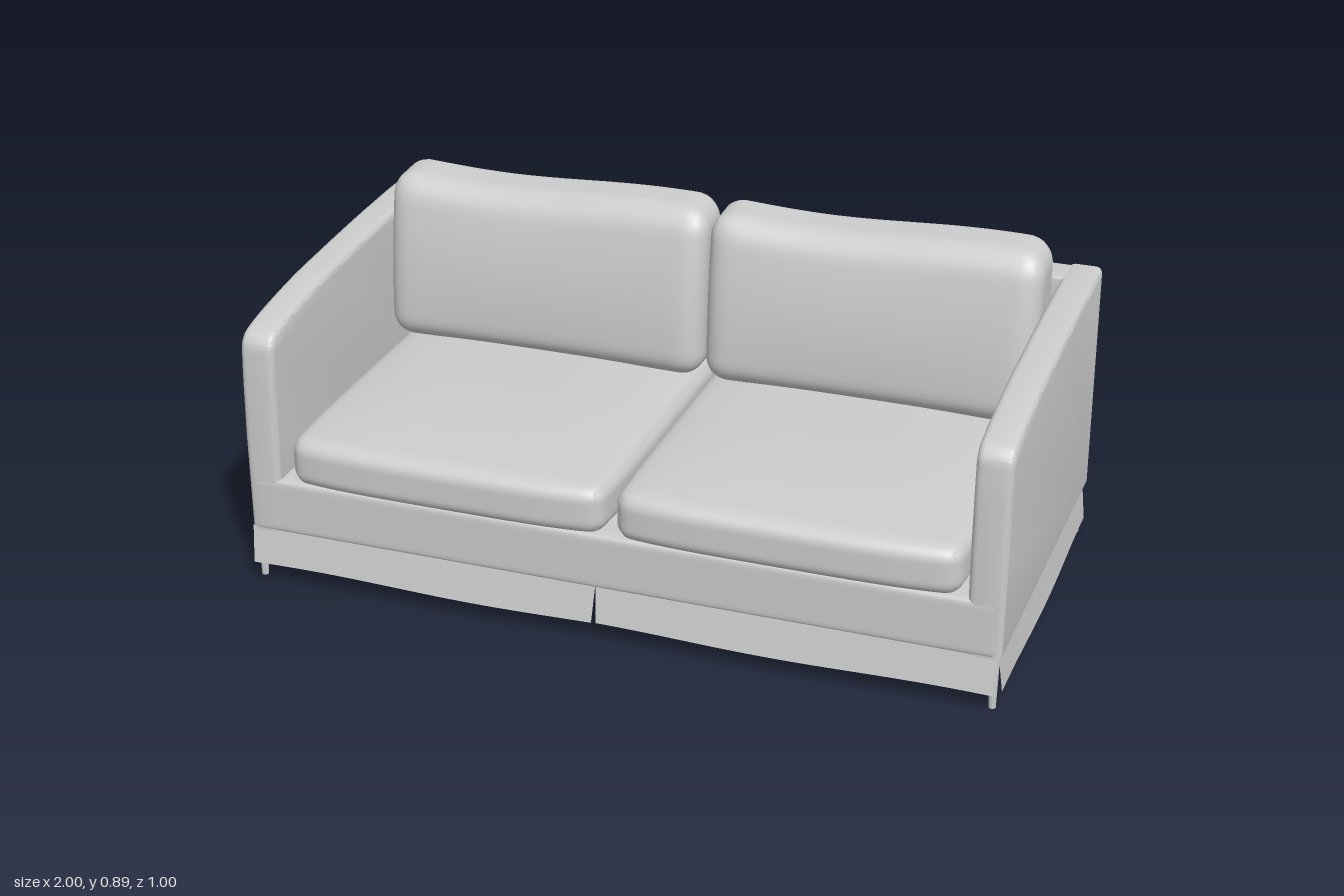
import * as THREE from 'three';
import { mergeVertices, toCreasedNormals } from 'three/addons/utils/BufferGeometryUtils.js';

const material = new THREE.MeshStandardMaterial({ color: 0xcccccc });
const cloth = new THREE.MeshStandardMaterial({ color: 0xcccccc, side: THREE.DoubleSide });

// Smooth padded block between two corners, rounded by r, then bent by a rule.
function softBox(min, max, r, seg, bend) {
  let geo = new THREE.BoxGeometry(2, 2, 2, seg, seg, seg);
  geo.deleteAttribute('uv');
  geo.deleteAttribute('normal');
  geo = mergeVertices(geo);
  const lo = new THREE.Vector3(...min), hi = new THREE.Vector3(...max);
  const mid = lo.clone().add(hi).multiplyScalar(0.5);
  const half = hi.clone().sub(lo).multiplyScalar(0.5);
  const core = half.clone().subScalar(r);
  const pos = geo.attributes.position, v = new THREE.Vector3(), inner = new THREE.Vector3();
  // crowd the grid lines towards the edges so the rounding is smooth
  const crowd = (t) => Math.sin(t * Math.PI / 2);
  for (let i = 0; i < pos.count; i++) {
    v.fromBufferAttribute(pos, i);
    const u = new THREE.Vector3(crowd(v.x), crowd(v.y), crowd(v.z));
    v.copy(u).multiply(half);
    inner.copy(v).clamp(core.clone().negate(), core);
    v.sub(inner).setLength(r).add(inner).add(mid);
    if (bend) bend(v, u);
    pos.setXYZ(i, v.x, v.y, v.z);
  }
  geo.computeVertexNormals();
  return geo;
}

// Side panel: outline in z and y with a softly rolled edge.
function armGeometry() {
  const s = new THREE.Shape();
  s.moveTo(-0.5, 0.14);
  s.lineTo(0.48, 0.14);
  s.lineTo(0.484, 0.4);
  s.splineThru([[0.478, 0.6], [0.464, 0.672], [0.4, 0.701], [0.2, 0.731],
    [0, 0.746], [-0.2, 0.757], [-0.4, 0.764]].map((p) => new THREE.Vector2(...p)));
  s.lineTo(-0.5, 0.764);
  const bevel = 0.018;
  const geo = new THREE.ExtrudeGeometry(s, {
    depth: 0.092 - 2 * bevel, curveSegments: 32, bevelEnabled: true,
    bevelSize: bevel, bevelThickness: bevel, bevelOffset: -bevel, bevelSegments: 4,
  });
  geo.translate(0, 0, bevel - 0.046);
  geo.rotateY(-Math.PI / 2);
  return toCreasedNormals(geo, 0.7);
}

// Hanging cloth panel, flared and slightly wavy along its lower edge.
function skirtGeometry(width, flare, phase) {
  const geo = new THREE.PlaneGeometry(width, 1, 32, 6);
  const pos = geo.attributes.position;
  for (let i = 0; i < pos.count; i++) {
    const x = pos.getX(i), t = 0.5 - pos.getY(i);
    const wave = Math.sin(x * 7 + phase);
    const y = 0.148 - t * (0.1 + 0.003 * wave);
    pos.setXYZ(i, x * (1 - 0.012 * t), y, t * (flare - 0.002 + 0.002 * wave));
  }
  geo.computeVertexNormals();
  return geo;
}

export function createModel() {
  const sofa = new THREE.Group();
  sofa.name = 'sofa';
  const add = (name, geo, mat = material) => {
    const mesh = new THREE.Mesh(geo, mat);
    mesh.name = name;
    sofa.add(mesh);
    return mesh;
  };

  // frame
  add('base', softBox([-0.985, 0.14, -0.49], [0.985, 0.292, 0.483], 0.015, 16));
  add('backrest', softBox([-0.99, 0.14, -0.5], [0.99, 0.763, -0.398], 0.012, 16));
  const arm = armGeometry();
  for (const side of [-1, 1]) {
    add(side > 0 ? 'leftArm' : 'rightArm', arm).position.x = side * 0.948;
  }

  for (const side of [-1, 1]) {
    const label = side > 0 ? 'left' : 'right';
    const x0 = side > 0 ? 0.0 : -0.882, x1 = side > 0 ? 0.892 : -0.012;

    // seat cushion: domed top, bowed front edge
    add(label + 'SeatCushion', softBox([x0, 0.285, -0.38], [x1, 0.412, 0.48], 0.038, 30, (v, u) => {
      const dome = (1 - u.x ** 4) * (1 - Math.max(0, u.z) ** 2);
      if (u.y > 0) v.y += 0.03 * u.y * dome;
      v.z += 0.022 * Math.max(0, u.z) * (1 - u.x ** 4);
      v.x -= 0.012 * u.x * Math.max(0, u.z) ** 4;
    }));

    // back cushion: leaning front, uneven top edge
    add(label + 'BackCushion', softBox([side > 0 ? 0.01 : -0.895, 0.425, -0.385],
      [side > 0 ? 0.893 : 0.004, 0.873, -0.16], 0.065, 30, (v, u) => {
        const h = (v.y - 0.425) / 0.448;
        const front = (v.z + 0.385) / 0.225;
        v.z -= 0.06 * front * h * h;
        v.z += (front - 0.5) * 0.022 * (1 - u.x * u.x) * (1 - u.y * u.y);
        v.z -= 0.008 * (1 - u.x * u.x);
        v.y += h * (0.008 * Math.sin(u.x * 3.2 - 0.4) + 0.006 * u.x * u.x);
        v.y += 0.01 * h * (1 - front);
      }));
  }

  // skirt: two panels at front and back, one at each end
  const skirt = (name, width, flare, x, z, turn, phase) => {
    const mesh = add(name, skirtGeometry(width, flare, phase), cloth);
    mesh.position.set(x, 0, z);
    mesh.rotation.y = turn;
  };
  skirt('frontSkirtRight', 0.95, 0.022, -0.515, 0.478, 0, 0.5);
  skirt('frontSkirtLeft', 1.025, 0.022, 0.4725, 0.478, 0, 2);
  skirt('backSkirtRight', 0.985, 0.012, -0.4925, -0.488, Math.PI, 1);
  skirt('backSkirtLeft', 0.985, 0.012, 0.4925, -0.488, Math.PI, 3);
  skirt('leftSkirt', 0.95, 0.015, 0.985, 0.002, Math.PI / 2, 1.5);
  skirt('rightSkirt', 0.95, 0.015, -0.985, 0.002, -Math.PI / 2, 0.2);

  // legs
  const leg = new THREE.CylinderGeometry(0.013, 0.009, 0.15, 12);
  for (const x of [-0.973, 0.973]) {
    for (const z of [0.464, -0.478]) {
      add(`${z > 0 ? 'front' : 'back'}${x > 0 ? 'Left' : 'Right'}Leg`, leg).position.set(x, 0.075, z);
    }
  }
  return sofa;
}
